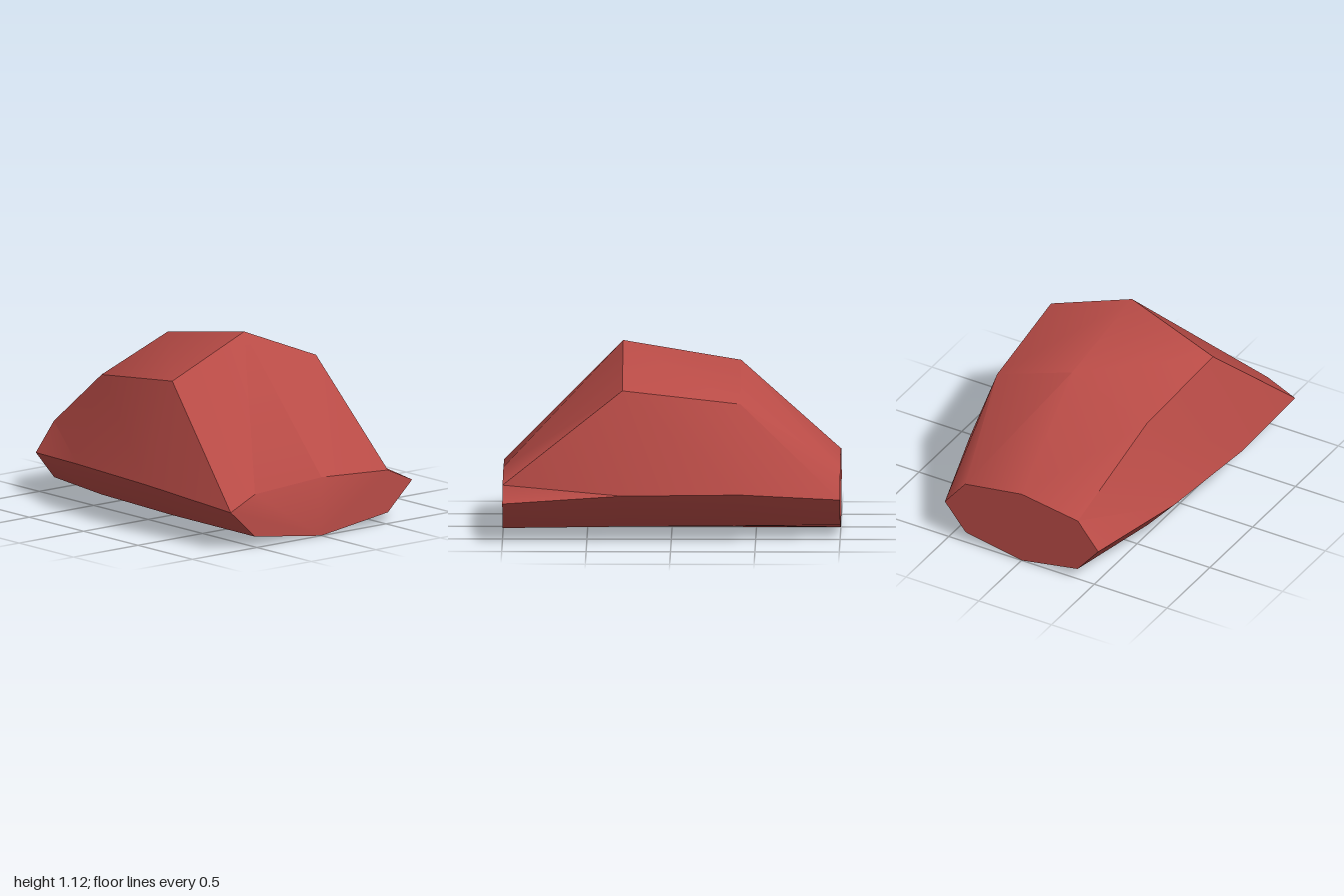
import * as THREE from 'three';
import { toCreasedNormals } from 'three/addons/utils/BufferGeometryUtils.js';

// Half sections: x, then lower, widest and upper corners as [z, y], then ridge height
const sections = [
  { x: -1.0, half: [[0.385, 0.07], [0.527, 0.24], [0.387, 0.412]], top: 0.472 },
  { x: -0.41, half: [[0.515, 0.084], [0.705, 0.296], [0.515, 0.812]], top: 1.0 },
  { x: 0.29, half: [[0.557, 0.084], [0.762, 0.297], [0.557, 0.897]], top: 1.118 },
  { x: 1.0, half: [[0.515, 0.068], [0.703, 0.24], [0.515, 0.325]], top: 0.355 },
];

// Full eight-point ring: keel, front side, ridge, mirrored back side
function ring({ x, half, top }) {
  const front = half.map(([z, y]) => [x, y, z]);
  const back = half.map(([z, y]) => [x, y, -z]).reverse();
  return [[x, 0, 0], ...front, [x, top, 0], ...back];
}

function hullGeometry() {
  const rings = sections.map(ring);
  const n = rings[0].length;
  const pos = [];
  const tri = (a, b, c) => pos.push(...a, ...b, ...c);

  // Skin between neighbouring rings
  for (let i = 0; i < rings.length - 1; i++) {
    for (let k = 0; k < n; k++) {
      const a = rings[i][k], b = rings[i + 1][k];
      const c = rings[i + 1][(k + 1) % n], d = rings[i][(k + 1) % n];
      tri(a, b, d);
      tri(b, c, d);
    }
  }

  // Flat end caps
  const first = rings[0], last = rings[rings.length - 1];
  for (let k = 1; k < n - 1; k++) {
    tri(first[0], first[k], first[k + 1]);
    tri(last[0], last[k + 1], last[k]);
  }

  const geometry = new THREE.BufferGeometry();
  geometry.setAttribute('position', new THREE.Float32BufferAttribute(pos, 3));
  return toCreasedNormals(geometry, THREE.MathUtils.degToRad(43.8));
}

export function createModel() {
  const red = new THREE.MeshStandardMaterial({ color: 0xb84b46 });
  red.name = 'red';

  const group = new THREE.Group();
  group.name = 'facetedHull';
  const hull = new THREE.Mesh(hullGeometry(), red);
  hull.name = 'hull';
  group.add(hull);
  return group;
}
